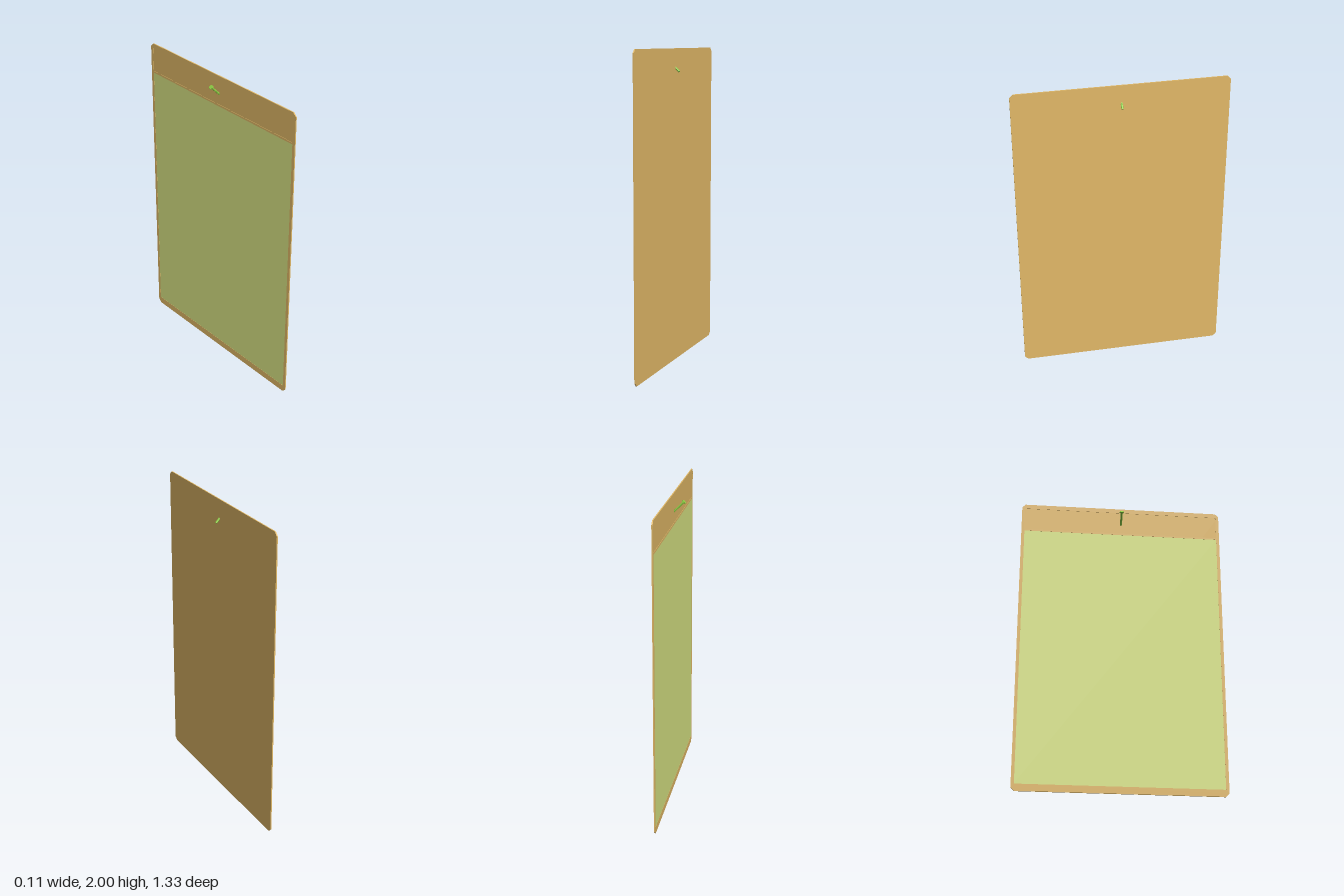
import * as THREE from 'three';

const mat = (color) => new THREE.MeshStandardMaterial({ color, flatShading: true });

// Rectangle outline in the z-y plane with clipped corners
function outline(zHalf, y0, y1, clip) {
  return new THREE.Shape([
    [-zHalf + clip, y0], [zHalf - clip, y0], [zHalf, y0 + clip], [zHalf, y1 - clip],
    [zHalf - clip, y1], [-zHalf + clip, y1], [-zHalf, y1 - clip], [-zHalf, y0 + clip],
  ].map(([z, y]) => new THREE.Vector2(z, y)));
}

// Upright slab filling an outline from x0 to x1
function slab(name, shape, x0, x1, material) {
  const geo = new THREE.ExtrudeGeometry(shape, { depth: x1 - x0, bevelEnabled: false });
  geo.rotateY(Math.PI / 2);
  geo.translate(x0, 0, 0);
  const mesh = new THREE.Mesh(geo, material);
  mesh.name = name;
  return mesh;
}

export function createModel() {
  const group = new THREE.Group();
  group.name = 'pinnedNotice';
  const wood = mat(0xe3ba68);
  const paper = mat(0xdae685);
  const metal = mat(0x8fd045);

  // Backing board, and a low rim on its -x face around a header and a paper recess
  group.add(slab('board', outline(0.665, 0, 2, 0.022), 0.0205, 0.026, wood));
  const header = outline(0.645, 1.812, 1.97, 0.001);
  const field = outline(0.645, 0.045, 1.8, 0.001);
  const rim = outline(0.665, 0, 2, 0.022);
  rim.holes.push(header, field);
  group.add(slab('rim', rim, 0.0185, 0.0205, wood));
  group.add(slab('paper', field, 0.0195, 0.0205, paper));

  // Nail driven through at 45 degrees: head up on the -x side, tip on +x
  const nail = new THREE.Group();
  nail.name = 'nail';
  const shaft = new THREE.Mesh(new THREE.CylinderGeometry(0.007, 0.007, 0.127, 6), metal);
  shaft.name = 'nailShaft';
  shaft.position.y = 0.0635;
  const head = new THREE.Mesh(new THREE.CylinderGeometry(0.014, 0.014, 0.01, 6), metal);
  head.name = 'nailHead';
  head.position.y = 0.126;
  nail.add(shaft, head);
  nail.position.set(0.049, 1.854, 0);
  nail.rotation.z = Math.PI / 4;
  group.add(nail);

  return group;
}
